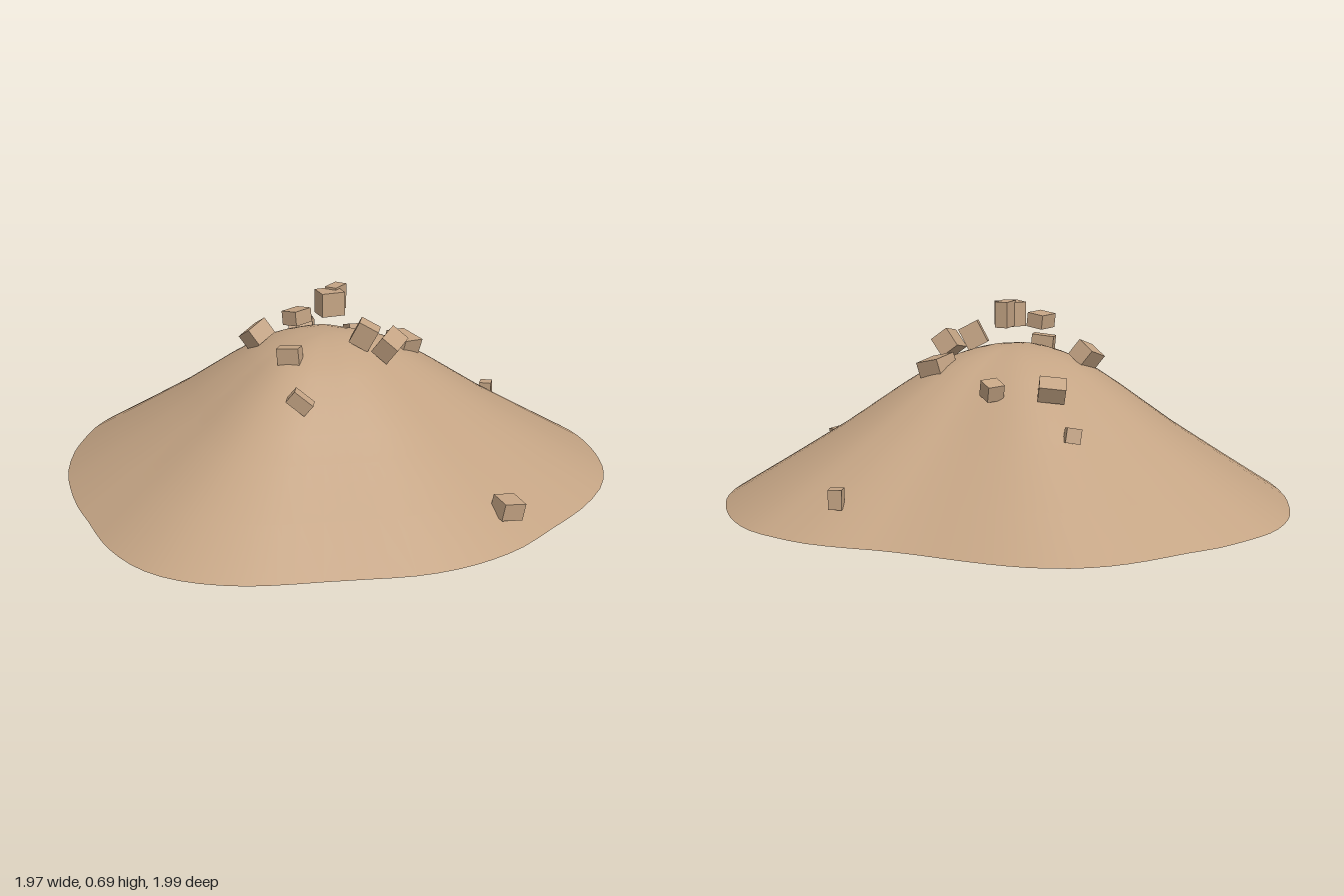
import * as THREE from 'three';
import { mergeVertices } from 'three/addons/utils/BufferGeometryUtils.js';

const sand = new THREE.MeshStandardMaterial({ color: 0xc4a484 });
sand.name = 'sand';

const HEIGHT = 0.525;
const PEAK_Z = -0.05;
const SEGMENTS = 86;

// Irregular footprint as [x, z], running from the front round the left side
const FOOTPRINT = [
  [-0.14, 0.99], [0, 0.98], [0.13, 0.94], [0.295, 0.855], [0.425, 0.79], [0.56, 0.72],
  [0.675, 0.625], [0.76, 0.52], [0.83, 0.395], [0.89, 0.215], [0.95, 0.025], [0.98, -0.185],
  [0.965, -0.345], [0.93, -0.46], [0.875, -0.58], [0.805, -0.69], [0.715, -0.785],
  [0.61, -0.845], [0.485, -0.895], [0.345, -0.915], [0.24, -0.92], [0.11, -0.94],
  [0, -0.965], [-0.13, -0.99], [-0.26, -1], [-0.39, -0.98], [-0.5, -0.93], [-0.6, -0.85],
  [-0.71, -0.735], [-0.8, -0.65], [-0.88, -0.54], [-0.94, -0.44], [-0.975, -0.32],
  [-0.985, -0.185], [-0.97, -0.05], [-0.945, 0.08], [-0.88, 0.265], [-0.8, 0.41],
  [-0.7, 0.555], [-0.605, 0.665], [-0.5, 0.79], [-0.395, 0.885], [-0.27, 0.96],
];

// Slope profile as [share of radius, share of height]
const PROFILE = [
  [1, 0], [0.8, 0.23], [0.6, 0.465], [0.5, 0.595], [0.4, 0.725], [0.3, 0.845],
  [0.25, 0.895], [0.2, 0.935], [0.15, 0.965], [0.1, 0.986], [0.05, 0.997], [0, 1],
];

// Stones: position, size, rotation
const STONES = [
  [[0.42, 0.12, -0.77], [0.045, 0.065, 0.045], [0, 0.1, 0]],
  [[-0.3, 0.305, -0.505], [0.05, 0.05, 0.04], [0.2, 0.4, 0.1]],
  [[-0.205, 0.43, -0.38], [0.09, 0.06, 0.065], [-0.5, 0.15, 0.2]],
  [[-0.005, 0.425, -0.4], [0.06, 0.055, 0.06], [-0.4, 0.7, 0.2]],
  [[0.24, 0.465, -0.2], [0.095, 0.06, 0.095], [-0.15, -0.4, -0.3]],
  [[-0.255, 0.495, -0.035], [0.07, 0.065, 0.09], [0.35, -0.35, 0.7]],
  [[0.015, 0.635, -0.05], [0.085, 0.085, 0.075], [0, 0.7, 0]],
  [[0.02, 0.64, -0.1], [0.045, 0.09, 0.075], [0, -0.2, 0]],
  [[-0.075, 0.602, 0.045], [0.065, 0.05, 0.08], [0, -0.4, 0.12]],
  [[0.16, 0.545, 0], [0.075, 0.085, 0.055], [0.1, 0.15, -0.5]],
  [[0.25, 0.515, -0.005], [0.07, 0.075, 0.1], [0.2, -0.1, -0.65]],
  [[-0.055, 0.497, 0.175], [0.08, 0.065, 0.045], [0, 0, 0.1]],
  [[0.05, 0.407, 0.37], [0.08, 0.05, 0.04], [0.1, 0.2, -0.7]],
  [[0.755, 0.095, 0.305], [0.08, 0.06, 0.08], [0.15, 0.75, -0.25]],
];

function createMound(rim) {
  const mound = new THREE.Group();
  mound.name = 'mound';

  // Lathe whose columns are stretched to meet the footprint
  const slopeGeometry = new THREE.LatheGeometry(
    PROFILE.map(([r, h]) => new THREE.Vector2(r, h * HEIGHT)), SEGMENTS);
  const position = slopeGeometry.attributes.position;
  for (let i = 0; i <= SEGMENTS; i++) {
    const edge = rim[i % SEGMENTS];
    PROFILE.forEach(([r, h], j) => {
      position.setXYZ(i * PROFILE.length + j,
        edge.x * r, h * HEIGHT, PEAK_Z + (edge.z - PEAK_Z) * r);
    });
  }
  slopeGeometry.deleteAttribute('uv');
  slopeGeometry.deleteAttribute('normal');
  const smooth = mergeVertices(slopeGeometry);
  smooth.computeVertexNormals();
  const slope = new THREE.Mesh(smooth, sand);
  slope.name = 'slope';

  // Flat underside
  const shape = new THREE.Shape(rim.map((p) => new THREE.Vector2(p.x, p.z)));
  const base = new THREE.Mesh(new THREE.ShapeGeometry(shape).rotateX(Math.PI / 2), sand);
  base.name = 'underside';

  mound.add(slope, base);
  return mound;
}

export function createModel() {
  const model = new THREE.Group();
  model.name = 'moundWithStones';

  const curve = new THREE.CatmullRomCurve3(
    FOOTPRINT.map(([x, z]) => new THREE.Vector3(x, 0, z)), true);
  model.add(createMound(curve.getPoints(SEGMENTS).slice(0, SEGMENTS)));

  // Loose blocks scattered around the summit and slopes
  const stones = new THREE.Group();
  stones.name = 'stones';
  STONES.forEach(([place, size, turn], i) => {
    const stone = new THREE.Mesh(new THREE.BoxGeometry(...size), sand);
    stone.name = `stone${i + 1}`;
    stone.position.set(...place);
    stone.rotation.set(...turn);
    stones.add(stone);
  });
  model.add(stones);
  return model;
}
